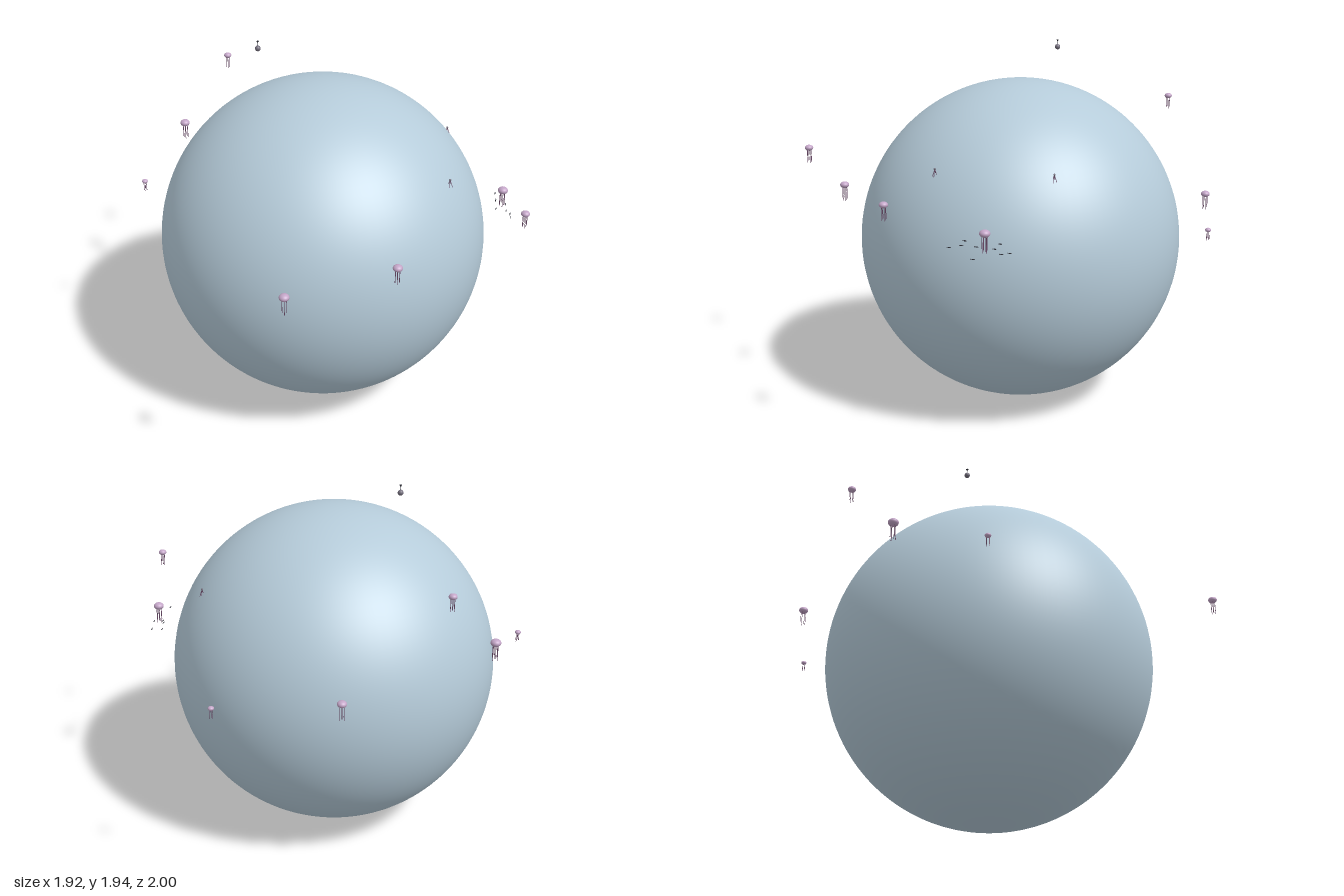
import * as THREE from 'three';

const mat = (name, color, side = THREE.FrontSide) => {
  const m = new THREE.MeshStandardMaterial({ color, side });
  m.name = name;
  return m;
};

export function createModel() {
  const root = new THREE.Group();
  root.name = 'bubbleWithJellyfish';
  const water = mat('paleBlue', 0xb5cbd9);
  const mauve = mat('mauve', 0xc4a6c8);
  const plum = mat('plum', 0x6a4a68);
  const slate = mat('slate', 0x75707e);
  const dark = mat('dark', 0x2e2f38);

  const add = (parent, name, geo, material, x = 0, y = 0, z = 0) => {
    const m = new THREE.Mesh(geo, material);
    m.name = name;
    m.position.set(x, y, z);
    parent.add(m);
    return m;
  };
  const group = (name, x, y, z) => {
    const g = new THREE.Group();
    g.name = name;
    g.position.set(x, y, z);
    root.add(g);
    return g;
  };
  // thin rod between two points
  const rod = (parent, name, a, b, r, material) => {
    const p = new THREE.Vector3(...a), q = new THREE.Vector3(...b);
    const d = q.clone().sub(p);
    const m = add(parent, name, new THREE.CylinderGeometry(r, r, d.length(), 6), material);
    m.position.copy(p).add(q).multiplyScalar(0.5);
    m.quaternion.setFromUnitVectors(new THREE.Vector3(0, 1, 0), d.normalize());
  };

  // Large smooth globe
  add(root, 'globe', new THREE.SphereGeometry(0.882, 96, 64), water, -0.082, 0.882, -0.008);

  // Jellyfish: x, y, z, bell radius
  const jellies = [
    [-0.44, 1.265, -0.94, 0.027], [-0.12, 1.6, -0.98, 0.021],
    [0.43, 1.145, -0.885, 0.024], [-0.83, 1.12, -0.67, 0.016],
    [0.945, 1.115, -0.55, 0.015], [0.708, 1.173, 0.553, 0.027],
    [-0.89, 1.32, 0.96, 0.024], [-0.263, 1.237, 0.94, 0.024],
    [0.485, 1.308, 0.973, 0.022],
  ];
  for (const [x, y, z, r] of jellies) {
    const g = group('jellyfish', x, y, z);
    add(g, 'bell', new THREE.SphereGeometry(r, 24, 16), mauve).scale.y = 0.72;
    const n = 6;
    for (let i = 0; i < n; i++) {
      const a = (i / n) * Math.PI * 2;
      const px = Math.cos(a) * r * 0.5, pz = Math.sin(a) * r * 0.5;
      const len = r * (i % 2 ? 3.1 : 3.6);
      rod(g, 'tentacle', [px, -r * 0.4, pz], [px, -len, pz], r * 0.055, plum);
    }
  }

  // Small floating pod with a stalk and a flared tip
  const pod = group('pod', -0.272, 1.9, -0.33);
  add(pod, 'podBody', new THREE.SphereGeometry(0.015, 20, 14), slate);
  rod(pod, 'podStalk', [0, 0.01, 0], [0, 0.034, 0], 0.0015, dark);
  add(pod, 'podTip', new THREE.CylinderGeometry(0.007, 0.002, 0.008, 10), dark, 0, 0.036, 0);

  // Tiny legged figures standing on the globe
  for (const [x, y, z] of [[0.275, 1.388, 0.632], [0.632, 1.385, 0.147]]) {
    const g = group('figure', x, y, z);
    add(g, 'figureBody', new THREE.SphereGeometry(0.0055, 10, 8), slate, 0, 0.015, 0);
    for (let i = 0; i < 4; i++) {
      const a = Math.PI / 4 + (i * Math.PI) / 2;
      rod(g, 'figureLeg', [0, 0.014, 0],
        [Math.cos(a) * 0.014, -0.026, Math.sin(a) * 0.014], 0.0015, plum);
    }
  }

  // School of small dark fish heading along a diagonal
  const school = [
    [0.637, 1.105, 0.705], [0.655, 1.112, 0.65], [0.613, 1.12, 0.615],
    [0.70, 1.11, 0.592], [0.716, 1.056, 0.617], [0.71, 1.09, 0.502],
    [0.722, 1.115, 0.478], [0.796, 1.088, 0.463], [0.732, 1.066, 0.476],
  ];
  for (const [x, y, z] of school) {
    const g = group('fish', x, y, z);
    g.rotation.y = Math.PI / 4;
    add(g, 'fishBody', new THREE.SphereGeometry(0.009, 12, 8), dark).scale.set(1, 0.32, 0.25);
    const tail = add(g, 'fishTail', new THREE.ConeGeometry(0.0035, 0.006, 6), dark, -0.01, 0, 0);
    tail.rotation.z = -Math.PI / 2;
    tail.scale.z = 0.4;
  }
  return root;
}
